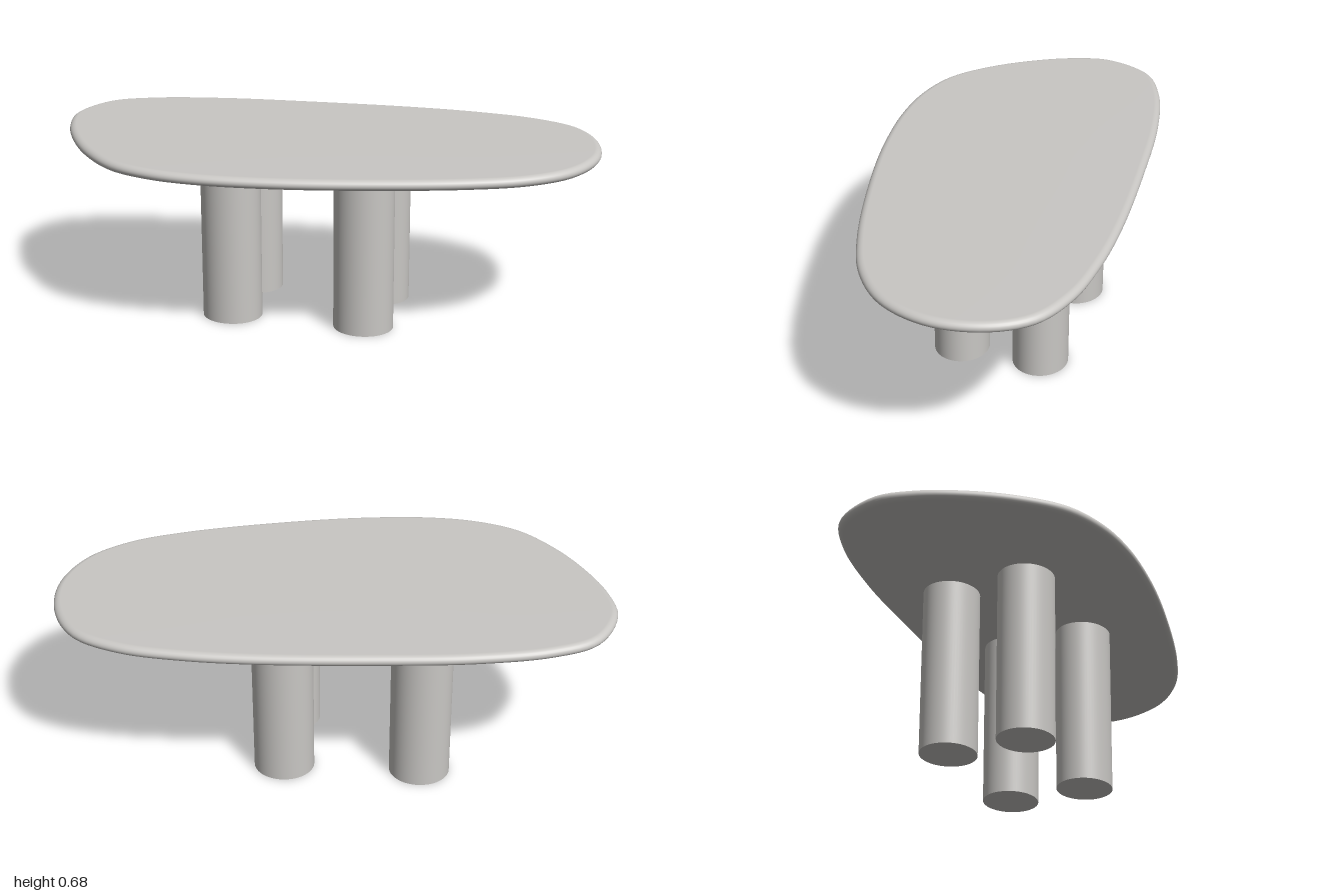
import * as THREE from 'three';

// Tabletop outline as [x, z], counter-clockwise seen from above
const OUTLINE = [
  [-1, -0.14], [-0.975, 0], [-0.905, 0.15], [-0.8, 0.3], [-0.665, 0.424], [-0.505, 0.484],
  [-0.32, 0.502], [-0.08, 0.485], [0.2, 0.435], [0.58, 0.335], [0.79, 0.245], [0.93, 0.12],
  [0.998, -0.06], [0.975, -0.25], [0.885, -0.39], [0.72, -0.468], [0.5, -0.501],
  [0.24, -0.508], [-0.16, -0.488], [-0.505, -0.456], [-0.77, -0.398], [-0.925, -0.315],
];

// Slab with a fully rounded rim: inset copies of the outline joined in rings
function slabGeometry(bottom, top, rimDepth) {
  const curve = new THREE.CatmullRomCurve3(
    OUTLINE.map(([x, z]) => new THREE.Vector3(x, 0, z)), true, 'centripetal');
  const count = 160, rings = 12;
  const mid = (bottom + top) / 2, half = (top - bottom) / 2;
  const positions = [], index = [];
  for (let k = 0; k <= rings; k++) {
    const a = -Math.PI / 2 + (Math.PI * k) / rings;
    const inset = rimDepth * (1 - Math.cos(a));
    for (let i = 0; i < count; i++) {
      const p = curve.getPointAt(i / count), t = curve.getTangentAt(i / count);
      positions.push(p.x + t.z * inset, mid + half * Math.sin(a), p.z - t.x * inset);
    }
  }
  const under = positions.length / 3, over = under + 1;
  positions.push(0, bottom, 0, 0, top, 0);
  for (let i = 0; i < count; i++) {
    const j = (i + 1) % count;
    for (let k = 0; k < rings; k++) {
      const a = k * count, b = a + count;
      index.push(a + i, a + j, b + j, a + i, b + j, b + i);
    }
    index.push(under, j, i, over, rings * count + i, rings * count + j);
  }
  const geometry = new THREE.BufferGeometry();
  geometry.setAttribute('position', new THREE.Float32BufferAttribute(positions, 3));
  geometry.setIndex(index);
  geometry.computeVertexNormals();
  return geometry;
}

export function createModel() {
  const model = new THREE.Group();
  model.name = 'table';
  const stone = new THREE.MeshStandardMaterial({ color: 0xc9c7c4 });
  stone.name = 'warm grey';

  const tabletop = new THREE.Mesh(slabGeometry(0.636, 0.676, 0.025), stone);
  tabletop.name = 'tabletop';
  model.add(tabletop);

  // Four slightly oval column legs
  const legHeight = 0.637;
  const legGeometry = new THREE.CylinderGeometry(1, 1, legHeight, 64);
  legGeometry.scale(0.111, 1, 0.102);
  for (const [side, x] of [['Right', -0.32], ['Left', 0.18]]) {
    for (const [end, z] of [['front', 0.1], ['back', -0.203]]) {
      const leg = new THREE.Mesh(legGeometry, stone);
      leg.name = end + side + 'Leg';
      leg.position.set(x, legHeight / 2, z);
      model.add(leg);
    }
  }
  return model;
}
